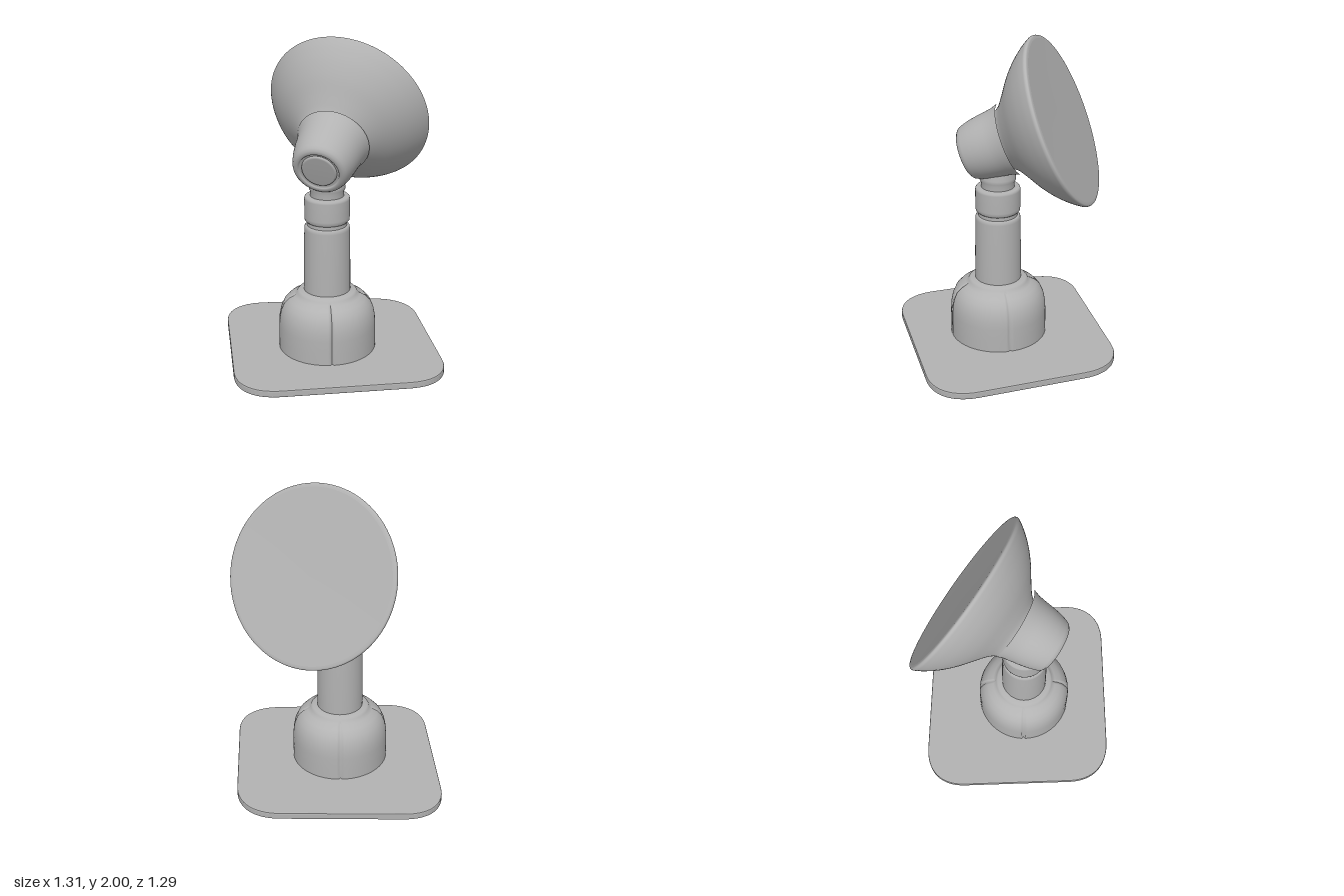
import * as THREE from 'three';

const grey = new THREE.MeshStandardMaterial({ color: 0xb2b2b2 });
grey.name = 'plain grey';

const v2 = (p) => p.map(([r, y]) => new THREE.Vector2(r, y));

function add(parent, name, geometry) {
  const mesh = new THREE.Mesh(geometry, grey);
  mesh.name = name;
  parent.add(mesh);
  return mesh;
}

// Revolve a profile given as [radius, height] from bottom to top
function lathe(parent, name, profile, segments = 64) {
  return add(parent, name, new THREE.LatheGeometry(v2(profile), segments));
}

// Group whose local y axis points along a given direction
function tilted(parent, name, origin, direction) {
  const group = new THREE.Group();
  group.name = name;
  group.position.copy(origin);
  group.quaternion.setFromUnitVectors(new THREE.Vector3(0, 1, 0), direction.clone().normalize());
  parent.add(group);
  return group;
}

// Slightly skewed plate with large rounded corners
function plateGeometry() {
  const corners = v2([[-0.665, -0.6], [0.64, -0.66], [0.662, 0.545], [-0.63, 0.665]]);
  const radius = 0.27;
  const shape = new THREE.Shape();
  corners.forEach((c, i) => {
    const toward = (o) => o.clone().sub(c).setLength(radius).add(c);
    const a = toward(corners[(i + 3) % 4]);
    const b = toward(corners[(i + 1) % 4]);
    const k1 = a.clone().lerp(c, 0.62), k2 = b.clone().lerp(c, 0.62);
    if (i === 0) shape.moveTo(a.x, a.y);
    else shape.lineTo(a.x, a.y);
    shape.bezierCurveTo(k1.x, k1.y, k2.x, k2.y, b.x, b.y);
  });
  shape.closePath();
  const g = new THREE.ExtrudeGeometry(shape, {
    depth: 0.029, bevelThickness: 0.008, bevelSize: 0.008, bevelOffset: -0.008,
    bevelSegments: 2, curveSegments: 16,
  });
  return g.rotateX(-Math.PI / 2).translate(0, 0.008, 0);
}

export function createModel() {
  const model = new THREE.Group();
  model.name = 'dishOnStand';

  add(model, 'basePlate', plateGeometry());

  // Everything on the upright axis
  const stand = new THREE.Group();
  stand.name = 'stand';
  stand.position.set(-0.028, 0, 0.052);
  model.add(stand);

  // Domed foot with four narrow vertical seams
  const dome = lathe(stand, 'domedFoot', [
    [0.309, 0.03], [0.309, 0.12], [0.308, 0.2], [0.305, 0.25], [0.295, 0.3], [0.275, 0.345],
    [0.245, 0.376], [0.21, 0.395], [0.196, 0.402], [0.19, 0.415], [0.178, 0.427], [0.14, 0.435],
  ], 160);
  const pos = dome.geometry.attributes.position;
  for (let i = 0; i < pos.count; i++) {
    const x = pos.getX(i), z = pos.getZ(i);
    if (Math.min(Math.abs(x), Math.abs(z)) < 0.003 && pos.getY(i) < 0.4) {
      const s = 1 - 0.013 / Math.hypot(x, z);
      pos.setX(i, x * s);
      pos.setZ(i, z * s);
    }
  }
  dome.geometry.computeVertexNormals();
  dome.rotation.y = -0.07;

  lathe(stand, 'post', [
    [0.147, 0.42], [0.146, 0.6], [0.142, 0.84], [0.14, 0.856], [0.133, 0.864], [0.1, 0.866],
  ]);
  lathe(stand, 'grooveCore', [[0.124, 0.85], [0.124, 0.92]]);
  lathe(stand, 'collar', [
    [0.1, 0.888], [0.13, 0.89], [0.139, 0.9], [0.141, 0.92], [0.141, 1.035],
    [0.139, 1.046], [0.132, 1.053], [0.09, 1.055],
  ]);
  lathe(stand, 'neck', [
    [0.104, 1.04], [0.104, 1.085], [0.112, 1.1], [0.112, 1.12], [0.1, 1.2],
  ]);

  const socketEnd = new THREE.Vector3(-0.11, 1.258, 0.228);
  const dishCentre = new THREE.Vector3(0.178, 1.508, -0.305);

  // Stout socket running from its end cap up into the dish
  const socket = tilted(model, 'socket', socketEnd, dishCentre.clone().sub(socketEnd));
  lathe(socket, 'socketBody', [
    [0, 0.014], [0.122, 0.014], [0.126, 0.004], [0.136, 0], [0.152, 0.004], [0.165, 0.016],
    [0.174, 0.035], [0.189, 0.09], [0.199, 0.15], [0.205, 0.2], [0.213, 0.25], [0.23, 0.3],
  ]);
  lathe(socket, 'endButton', [
    [0, 0.002], [0.096, 0.002], [0.106, 0.005], [0.111, 0.018],
  ]);

  // Bell-shaped shell with a softly rounded rim, and its flat face
  const dish = tilted(model, 'dish', dishCentre, new THREE.Vector3(0.5, 0.39, -0.773));
  const shell = new THREE.SplineCurve(v2([
    [0.19, -0.39], [0.222, -0.345], [0.29, -0.287], [0.38, -0.215], [0.45, -0.145],
    [0.5, -0.08], [0.527, -0.035], [0.534, -0.017], [0.529, -0.004], [0.51, 0],
  ])).getPoints(40);
  add(dish, 'dishShell', new THREE.LatheGeometry(shell, 96));
  lathe(dish, 'dishFace', [[0.511, 0], [0.3, -0.002], [0, -0.003]], 96);

  return model;
}
